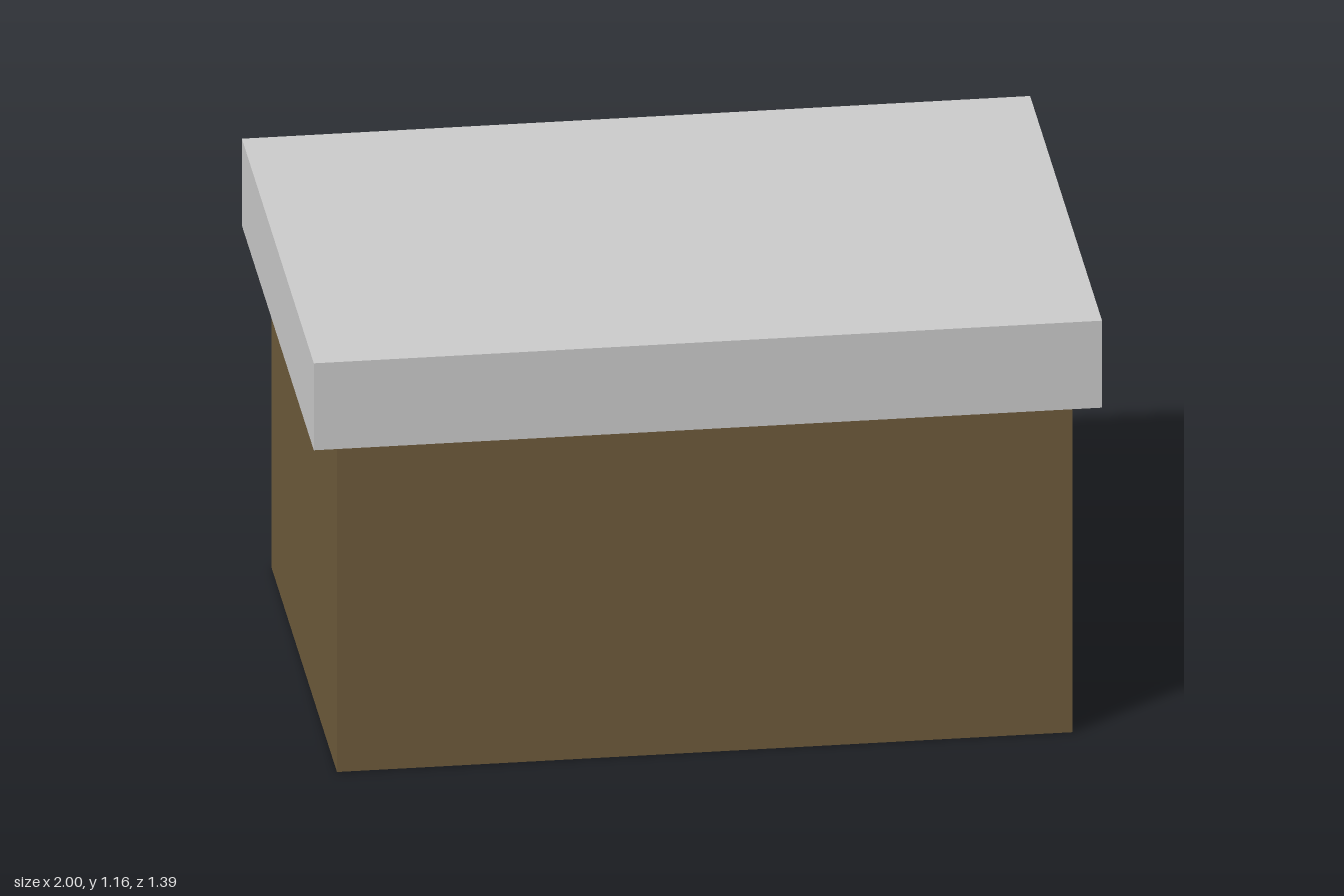
import * as THREE from 'three';

const W = 1.866, D = 1.26, H = 1.09, T = 0.065; // box outer size and board thickness
const LW = 2, LD = 1.386, LY = 0.92, TOP = 1.16; // lid outer size, rim and top height

const card = new THREE.MeshStandardMaterial({ color: 0x6e5b3b, flatShading: true });
const grey = new THREE.MeshStandardMaterial({ color: 0xcccccc, flatShading: true });

function add(parent, name, geometry, material, x, y, z) {
  const mesh = new THREE.Mesh(geometry, material);
  mesh.name = name;
  mesh.position.set(x, y, z);
  parent.add(mesh);
  return mesh;
}

// Board with a long hand hole whose ends are faceted
function endWallGeometry() {
  const shape = new THREE.Shape([[-D / 2, 0], [D / 2, 0], [D / 2, H], [-D / 2, H]]
    .map(([x, y]) => new THREE.Vector2(x, y)));
  const end = [[0.107, 0.715], [0.147, 0.738], [0.162, 0.775], [0.147, 0.812], [0.107, 0.835]];
  const mirrored = end.map(([x, y]) => [-x, y]).reverse();
  shape.holes.push(new THREE.Path([...end, ...mirrored].map(([x, y]) => new THREE.Vector2(x, y))));
  return new THREE.ExtrudeGeometry(shape, { depth: T, bevelEnabled: false })
    .translate(0, 0, -T / 2).rotateY(Math.PI / 2);
}

export function createModel() {
  const model = new THREE.Group();
  model.name = 'storageBox';

  // Open-topped box
  const box = new THREE.Group();
  box.name = 'box';
  model.add(box);
  add(box, 'floor', new THREE.BoxGeometry(W - 2 * T, T, D - 2 * T), card, 0, T / 2, 0);
  const endWall = endWallGeometry();
  const sideWall = new THREE.BoxGeometry(W - 2 * T, H, T);
  for (const s of [1, -1]) {
    add(box, s > 0 ? 'leftEndWall' : 'rightEndWall', endWall, card, s * (W - T) / 2, 0, 0);
    add(box, s > 0 ? 'frontWall' : 'backWall', sideWall, card, 0, H / 2, s * (D - T) / 2);
  }

  // Lid: top panel with a rim that hangs around the box
  const lid = new THREE.Group();
  lid.name = 'lid';
  model.add(lid);
  const t = 0.062, rimH = TOP - LY;
  add(lid, 'lidTop', new THREE.BoxGeometry(LW - 2 * t, t, LD - 2 * t), grey, 0, TOP - t / 2, 0);
  const rimEnd = new THREE.BoxGeometry(t, rimH, LD);
  const rimSide = new THREE.BoxGeometry(LW - 2 * t, rimH, t);
  for (const s of [1, -1]) {
    add(lid, s > 0 ? 'leftRim' : 'rightRim', rimEnd, grey, s * (LW - t) / 2, LY + rimH / 2, 0);
    add(lid, s > 0 ? 'frontRim' : 'backRim', rimSide, grey, 0, LY + rimH / 2, s * (LD - t) / 2);
  }
  return model;
}
